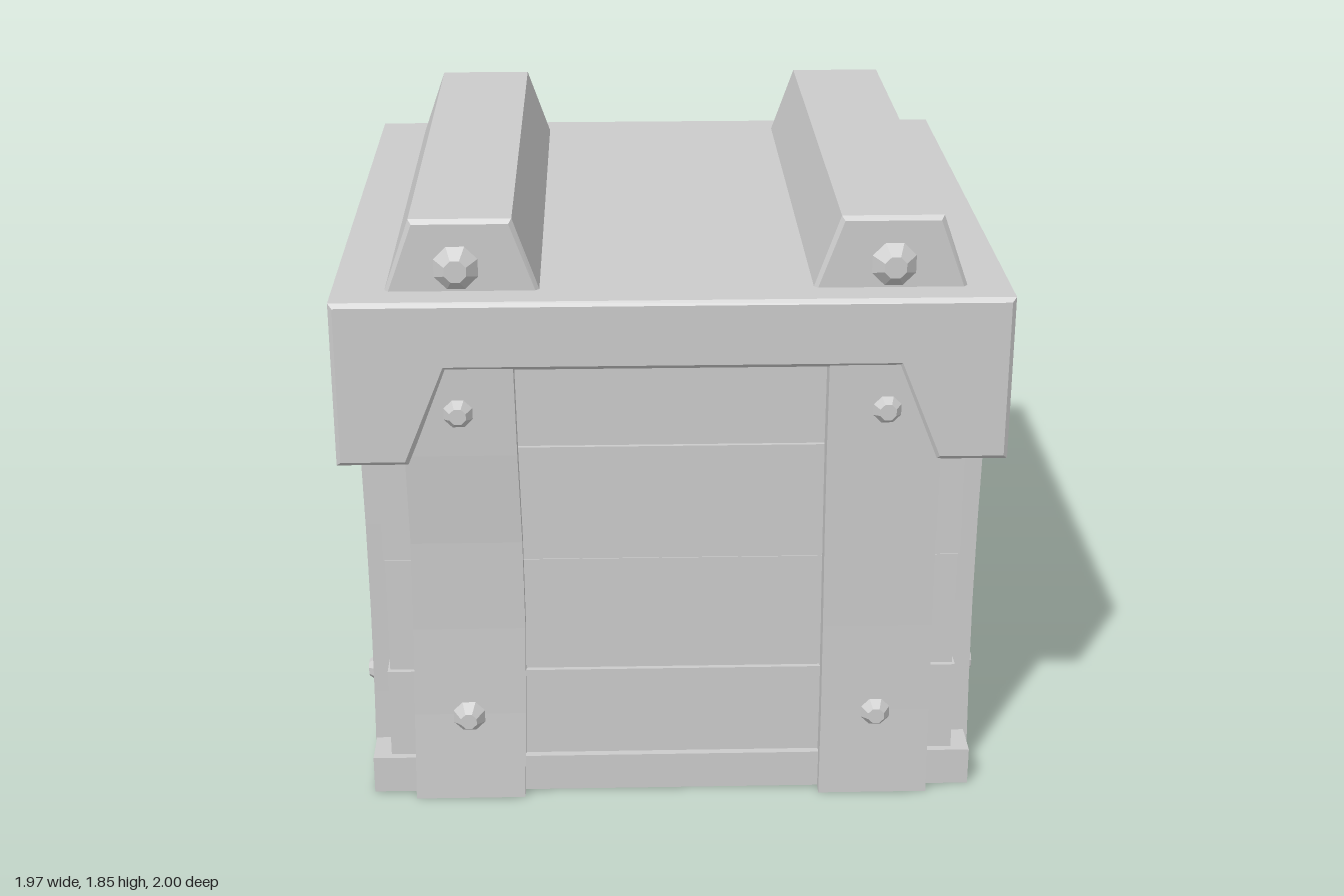
import * as THREE from 'three';

const material = new THREE.MeshStandardMaterial({ color: 0xcccccc, flatShading: true });

function add(parent, name, geometry, x = 0, y = 0, z = 0) {
  const mesh = new THREE.Mesh(geometry, material);
  mesh.name = name;
  mesh.position.set(x, y, z);
  parent.add(mesh);
  return mesh;
}

// Extrude an x/y outline from z0 to z1 with a small chamfer that stays inside the outline
function chamferedExtrude(points, z0, z1, b) {
  const shape = new THREE.Shape(points.map(([x, y]) => new THREE.Vector2(x, y)));
  const geometry = new THREE.ExtrudeGeometry(shape, {
    depth: z1 - z0 - 2 * b, bevelEnabled: true, bevelSegments: 1,
    bevelSize: b, bevelThickness: b, bevelOffset: -b,
  });
  return geometry.translate(0, 0, z0 + b);
}

// Upright board whose edges and face bend slightly along its height
function warpedPost(width, height, thickness, bend, sway, phase) {
  const geometry = new THREE.BoxGeometry(width, height, thickness, 1, 5, 1);
  geometry.translate(0, height / 2, 0);
  const p = geometry.attributes.position;
  for (let i = 0; i < p.count; i++) {
    const t = p.getY(i) / height;
    const side = Math.sign(p.getX(i));
    p.setX(i, p.getX(i) + sway * Math.sin(t * 5 + phase + side * 0.4));
    if (p.getZ(i) > 0) p.setZ(i, p.getZ(i) - bend * Math.sin(Math.PI * Math.min(1, t * 1.15)));
  }
  geometry.computeVertexNormals();
  return geometry;
}

// Eight-sided tapered bolt head pointing along +z
function boltHead(radius) {
  return new THREE.CylinderGeometry(radius * 0.5, radius, 0.037, 8)
    .rotateY(Math.PI / 8).rotateX(Math.PI / 2);
}

export function createModel() {
  const model = new THREE.Group();
  model.name = 'crate';

  // Floor boards run from side to side with narrow gaps
  const floor = new THREE.Group();
  floor.name = 'floorBoards';
  model.add(floor);
  [-0.692, -0.233, 0.233, 0.692].forEach((z) => {
    add(floor, 'floorBoard', new THREE.BoxGeometry(1.86, 0.12, 0.442), 0, 0.062, z);
  });
  // Filler closes the gaps above the underside
  add(floor, 'floorFiller', new THREE.BoxGeometry(1.74, 0.08, 1.74), 0, 0.09, 0);

  // Stacked plank courses, each a little different in size
  const walls = new THREE.Group();
  walls.name = 'walls';
  model.add(walls);
  const levels = [0.12, 0.415, 0.79, 1.16, 1.5];
  const inset = [0, 0.008, 0.003, 0.006];
  inset.forEach((d, i) => {
    const h = levels[i + 1] - levels[i];
    add(walls, 'plankCourse', new THREE.BoxGeometry(1.75 - 2 * d, h - 0.004, 1.78 - 2 * d),
      0, levels[i] + h / 2, 0);
  });
  add(walls, 'wallCore', new THREE.BoxGeometry(1.72, 1.36, 1.75), 0, 0.8, 0);

  // Two upright posts and their bolts on each of the four sides
  const sides = [
    { name: 'front', angle: 0, face: 0.955, y: [0.285, 1.295] },
    { name: 'left', angle: Math.PI / 2, face: 0.945, y: [0.285] },
    { name: 'back', angle: Math.PI, face: 0.96, y: [0.285, 1.295] },
    { name: 'right', angle: -Math.PI / 2, face: 0.935, y: [0.285] },
  ];
  sides.forEach((side, k) => {
    const group = new THREE.Group();
    group.name = side.name + 'Posts';
    group.rotation.y = side.angle;
    model.add(group);
    [-1, 1].forEach((s) => {
      const strong = (k === 0 && s < 0) || (k === 1 && s > 0) || (k === 2 && s < 0);
      add(group, 'post',
        warpedPost(0.335, 1.45, 0.12, strong ? 0.025 : 0.008, strong ? 0.008 : 0.003, k + s),
        s * 0.622, 0, side.face - 0.06);
      side.y.forEach((y) => {
        add(group, 'bolt', boltHead(0.052), s * 0.625, y, side.face + 0.006);
      });
    });
  });

  // Lid with deep side skirts and a stepped-up opening at front and back
  add(model, 'lid', chamferedExtrude([
    [-0.985, 1.135], [-0.775, 1.135], [-0.655, 1.43], [0.655, 1.43],
    [0.775, 1.135], [0.985, 1.135], [0.985, 1.638], [-0.985, 1.638],
  ], -0.997, 0.963, 0.013));

  // Tapered battens on the lid, each with a bolt at the front
  [-0.608, 0.635].forEach((x) => {
    const batten = chamferedExtrude([
      [-0.23, 1.62], [0.23, 1.62], [0.148, 1.852], [-0.148, 1.852],
    ], -0.89, 0.855, 0.013);
    add(model, 'lidBatten', batten, x);
    add(model, 'lidBolt', boltHead(0.068), x - 0.008, 1.745, 0.981);
  });

  return model;
}
